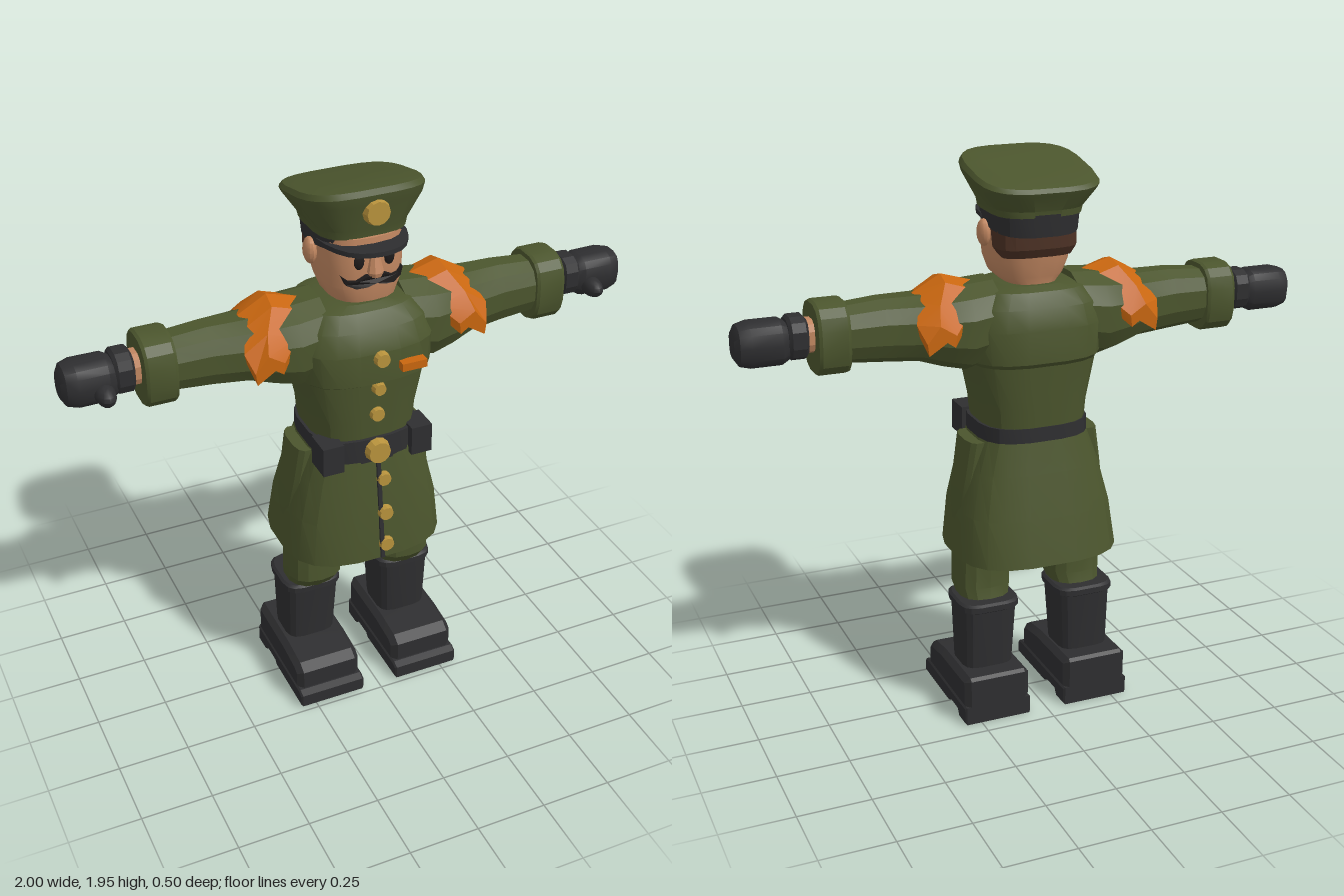
import * as THREE from 'three';
import { toCreasedNormals } from 'three/addons/utils/BufferGeometryUtils.js';

const mat = (name, color, extra = {}) => {
  const m = new THREE.MeshStandardMaterial({ color, ...extra });
  m.name = name;
  return m;
};

// Stacks superellipse rings; each section is [y, rx, rz, cx, cz, tilt]
function loft(sections, { n = 16, p = 2.8, bottom = true, top = true } = {}) {
  const pos = [], idx = [];
  const soft = (v) => Math.sign(v) * Math.abs(v) ** (2 / p);
  for (const [y, rx, rz, cx = 0, cz = 0, tilt = 0] of sections) {
    for (let i = 0; i < n; i++) {
      const a = ((i + 0.5) / n) * Math.PI * 2;
      const z = cz + rz * soft(Math.sin(a));
      pos.push(cx + rx * soft(Math.cos(a)), y + tilt * z, z);
    }
  }
  for (let j = 0; j < sections.length - 1; j++) {
    for (let i = 0; i < n; i++) {
      const a = j * n + i, b = j * n + ((i + 1) % n);
      idx.push(a, a + n, b + n, a, b + n, b);
    }
  }
  const last = (sections.length - 1) * n;
  for (let i = 1; i < n - 1; i++) {
    if (bottom) idx.push(0, i, i + 1);
    if (top) idx.push(last, last + i + 1, last + i);
  }
  const g = new THREE.BufferGeometry();
  g.setAttribute('position', new THREE.Float32BufferAttribute(pos, 3));
  g.setIndex(idx);
  return g;
}

// A loft that runs outwards along +x at height y
const loftX = (sections, y, z = 0, opts) => loft(sections, opts).rotateZ(-Math.PI / 2).translate(0, y, z);

// Side profile of [z, y] points, extruded across x
function extrudeX(points, width, cx, bevel) {
  const shape = new THREE.Shape(points.map(([z, y]) => new THREE.Vector2(z, y)));
  return new THREE.ExtrudeGeometry(shape, {
    depth: width - 2 * bevel, bevelEnabled: true, bevelSize: bevel, bevelOffset: -bevel, bevelThickness: bevel, bevelSegments: 1,
  }).rotateY(-Math.PI / 2).translate(cx + width / 2 - bevel, 0, 0);
}

// Moves every vertex by a rule
function bend(g, rule) {
  const p = g.attributes.position, v = new THREE.Vector3();
  for (let i = 0; i < p.count; i++) {
    rule(v.fromBufferAttribute(p, i));
    p.setXYZ(i, v.x, v.y, v.z);
  }
  return g;
}

// Mirrored copy across x, with the corner order kept outward
function mirror(source) {
  const g = source.index ? source.toNonIndexed() : source.clone();
  const a = g.attributes.position.array;
  for (let t = 0; t < a.length; t += 9) {
    for (let k = 0; k < 3; k++) [a[t + 3 + k], a[t + 6 + k]] = [a[t + 6 + k], a[t + 3 + k]];
    for (let k = 0; k < 9; k += 3) a[t + k] *= -1;
  }
  return g;
}

const disc = (r, depth, x, y, z) =>
  new THREE.CylinderGeometry(r * 0.85, r, depth, 12).rotateX(Math.PI / 2).translate(x, y, z);
const box = (w, h, d, x, y, z) => new THREE.BoxGeometry(w, h, d).translate(x, y, z);
const ball = (rx, ry, rz, x, y, z) => new THREE.SphereGeometry(1, 12, 8).scale(rx, ry, rz).translate(x, y, z);

export function createModel() {
  const root = new THREE.Group();
  root.name = 'officer';
  const green = mat('uniform green', 0x4b552d);
  const black = mat('black leather', 0x2e2e30);
  const lining = mat('coat lining', 0x333334, { side: THREE.DoubleSide });
  const orange = mat('orange trim', 0xc8660f);
  const gold = mat('brass', 0xb8923c);
  const skin = mat('skin', 0xc08660);
  const brown = mat('brown hair', 0x4c3124);
  const dark = mat('dark features', 0x1e1b1b);

  const add = (name, g, m, crease = 0.4) => {
    const mesh = new THREE.Mesh(toCreasedNormals(g, crease), m);
    mesh.name = name;
    root.add(mesh);
  };
  const pair = (name, g, m, crease) => {
    add(name + 'Left', g, m, crease);
    add(name + 'Right', mirror(g), m, crease);
  };

  // Coat
  add('jacket', loft([
    [1.0, 0.18, 0.17, 0, 0.005], [1.12, 0.19, 0.178, 0, 0.005], [1.275, 0.222, 0.19, 0, 0.005], [1.29, 0.235, 0.208, 0, 0.01],
    [1.4, 0.245, 0.207, 0, 0.01], [1.47, 0.225, 0.185, 0, 0.005], [1.52, 0.185, 0.15], [1.535, 0.12, 0.12],
  ], { n: 20, p: 3 }), green);
  const skirt = [
    [0.59, 0.29, 0.247, 0, -0.012], [0.75, 0.272, 0.225, 0, -0.003], [0.9, 0.235, 0.198, 0, 0.004], [1.01, 0.195, 0.18, 0, 0.008],
  ];
  add('coatSkirt', loft(skirt, { n: 20, p: 3, bottom: false }), green);
  add('coatLining', loft(skirt.map(([y, rx, rz, cx, cz], i) => [y, rx - (i ? 0.01 : 0), rz - (i ? 0.01 : 0), cx, cz]),
    { n: 20, p: 3, bottom: false, top: false }), lining);
  pair('sidePocket', loft([
    [0.71, 0.015, 0.03, 0.26], [0.77, 0.025, 0.065, 0.247], [0.88, 0.035, 0.08, 0.222], [1.0, 0.04, 0.085, 0.2],
  ], { n: 12 }), green);
  add('coatOpening', new THREE.BoxGeometry(0.014, 0.38, 0.009).rotateX(-0.12).translate(0.003, 0.785, 0.219), black);

  // Belt, pouches, buckle and buttons
  add('belt', loft([[0.97, 0.197, 0.183, 0, 0.01], [1.06, 0.195, 0.181, 0, 0.01]], { n: 20, p: 3 }), black);
  pair('beltPouch', box(0.075, 0.105, 0.1, 0.162, 1.017, 0.152), black);
  add('buckle', disc(0.046, 0.03, 0, 1.015, 0.203), gold);
  [[0, 1.38, 0.225, 0.028], [0, 1.26, 0.204, 0.024], [0, 1.155, 0.19, 0.027],
    [0.02, 0.9, 0.205, 0.027], [0.02, 0.77, 0.223, 0.029], [0.02, 0.645, 0.232, 0.029],
  ].forEach(([x, y, z, r], i) => add('button' + (i + 1), disc(r, 0.025, x, y, z), gold));
  add('chestRibbon', box(0.088, 0.028, 0.035, 0.108, 1.343, 0.228), orange);

  // Arms, cuffs, wrists and gloves
  pair('sleeve', loftX([
    [0.14, 0.14, 0.15, 0, 0], [0.24, 0.148, 0.158, 0.015], [0.32, 0.132, 0.14, 0.012], [0.4, 0.113, 0.115, 0.005],
    [0.52, 0.108, 0.098], [0.66, 0.096, 0.09],
  ], 1.415, 0, { n: 12, p: 2.3 }), green);
  pair('cuff', loftX([[0.64, 0.118, 0.1], [0.65, 0.122, 0.105], [0.735, 0.122, 0.105], [0.745, 0.116, 0.1]], 1.41, 0, { n: 16 }), green);
  pair('wrist', loftX([[0.72, 0.056, 0.052], [0.79, 0.056, 0.052]], 1.42, 0, { n: 12 }), skin);
  pair('gloveCuff', loftX([[0.765, 0.06, 0.055], [0.775, 0.072, 0.068], [0.82, 0.072, 0.068], [0.83, 0.062, 0.06]], 1.42, 0, { n: 12 }), black);
  pair('glove', loftX([
    [0.82, 0.058, 0.055], [0.85, 0.075, 0.07], [0.95, 0.075, 0.072], [0.985, 0.066, 0.06], [1.0, 0.042, 0.038],
  ], 1.41, 0.003, { n: 14 }), black, 0.6);
  pair('thumb', ball(0.034, 0.034, 0.06, 0.872, 1.385, 0.072), black, 0.6);

  // Shoulder boards: a peaked strip lofted front to back over the shoulder
  const stations = [[-0.165, 0.31, 0.41, 1.435], [-0.12, 0.25, 0.43, 1.49], [-0.06, 0.2, 0.4, 1.55], [0, 0.185, 0.405, 1.567],
    [0.06, 0.2, 0.4, 1.55], [0.12, 0.25, 0.43, 1.49], [0.165, 0.31, 0.41, 1.435]];
  const ring = [[0, -0.035], [0.55, 0], [1, -0.055], [0.95, -0.095], [0.55, -0.04], [0.05, -0.075]];
  const board = loft(stations.map(([z]) => [z, 1, 1]), { n: ring.length });
  const bp = board.attributes.position;
  stations.forEach(([z, x0, x1, y], j) => ring.forEach(([u, v], i) =>
    bp.setXYZ(j * ring.length + i, x0 + u * (x1 - x0), y + v + 0.01, z)));
  // the ring runs clockwise, so turn its faces outward
  const order = board.index.array;
  for (let t = 0; t < order.length; t += 3) [order[t + 1], order[t + 2]] = [order[t + 2], order[t + 1]];
  board.index.array.reverse();
  for (let t = 0; t < order.length; t += 3) [order[t + 1], order[t + 2]] = [order[t + 2], order[t + 1]];
  const a = new THREE.Vector3().fromBufferAttribute(bp, 3 * 6 + 1), probe = board.clone();
  probe.computeVertexNormals();
  if (a.y > 0 && probe.attributes.normal.getY(3 * 6 + 1) < 0) {
    for (let t = 0; t < order.length; t += 3) [order[t + 1], order[t + 2]] = [order[t + 2], order[t + 1]];
  }
  pair('shoulderBoard', board, orange, 0.2);

  // Head
  add('head', loft([
    [1.5, 0.09, 0.09, 0, -0.01], [1.535, 0.088, 0.105], [1.56, 0.115, 0.132, 0, 0.02], [1.61, 0.134, 0.143, 0, 0.018],
    [1.7, 0.139, 0.15, 0, 0.01], [1.78, 0.137, 0.148, 0, 0.005],
  ], { n: 18, p: 2.7 }), skin, 0.5);
  add('hair', loft([[1.63, 0.122, 0.055, 0, -0.075], [1.66, 0.14, 0.08, 0, -0.068], [1.76, 0.143, 0.095, 0, -0.056]], { p: 3 }), brown);
  pair('ear', ball(0.022, 0.046, 0.034, 0.152, 1.7, 0), skin, 0.6);
  pair('eye', ball(0.018, 0.028, 0.008, 0.052, 1.708, 0.157), dark, 1);
  pair('eyebrow', box(0.05, 0.012, 0.012, 0.055, 1.746, 0.154), dark);
  add('nose', loft([[1.655, 0.022, 0.02, 0, 0.167], [1.67, 0.027, 0.024, 0, 0.167], [1.735, 0.013, 0.012, 0, 0.158]], { n: 8, p: 2 }), skin);
  const half = [[0, 1.657], [0.03, 1.661], [0.06, 1.645], [0.085, 1.643], [0.105, 1.658], [0.095, 1.632], [0.065, 1.619], [0.03, 1.624], [0, 1.634]];
  const curl = [...half, ...half.slice(1, -1).reverse().map(([x, y]) => [-x, y])];
  add('moustache', bend(new THREE.ExtrudeGeometry(new THREE.Shape(curl.map(([x, y]) => new THREE.Vector2(x, y))),
    { depth: 0.035, bevelEnabled: false }), (v) => { v.z += 0.145 - v.x * v.x * 3; }), dark);

  // Cap
  add('capBand', loft([[1.725, 0.146, 0.152, 0, -0.02, 0.12], [1.79, 0.152, 0.16, 0, -0.02, 0.05]], { n: 20, p: 3 }), black);
  add('capCrown', loft([
    [1.775, 0.153, 0.16, 0, -0.018, 0.03], [1.8, 0.158, 0.163, 0, -0.018, 0.05], [1.875, 0.203, 0.194, 0, -0.018, 0.15],
    [1.898, 0.21, 0.2, 0, -0.018, 0.2], [1.914, 0.2, 0.19, 0, -0.018, 0.22], [1.921, 0.15, 0.14, 0, -0.018, 0.22],
  ], { n: 24, p: 3.4 }), green);
  const peak = new THREE.Shape();
  peak.moveTo(-0.147, 0.04);
  peak.bezierCurveTo(-0.14, 0.293, 0.14, 0.293, 0.147, 0.04);
  add('capVisor', bend(new THREE.ExtrudeGeometry(peak, { depth: 0.016, bevelEnabled: false, curveSegments: 12 }).rotateX(Math.PI / 2),
    (v) => { v.y += 1.787 - v.x * v.x * 1.4 - Math.max(0, v.z - 0.12) * 0.2; }), black);
  add('capBadge', disc(0.046, 0.025, 0, 1.875, 0.178), gold);

  // Trousers and boots
  pair('trouserLeg', loft([
    [0.4, 0.085, 0.085, 0.175, -0.015], [0.46, 0.1, 0.1, 0.172, 0.015], [0.6, 0.098, 0.103, 0.17, 0.012], [0.92, 0.09, 0.1, 0.1, 0],
  ], { n: 14, p: 2.5 }), green);
  pair('bootShaft', loft([
    [0.13, 0.09, 0.085, 0.185, -0.032], [0.39, 0.1, 0.103, 0.18, -0.03], [0.395, 0.109, 0.11, 0.18, -0.03],
    [0.415, 0.109, 0.11, 0.18, -0.03], [0.422, 0.1, 0.1, 0.18, -0.03],
  ], { n: 16, p: 4 }), black);
  pair('bootFoot', extrudeX([
    [-0.19, 0.05], [0.205, 0.05], [0.205, 0.135], [0.17, 0.158], [0.06, 0.172], [-0.18, 0.176], [-0.19, 0.165],
  ], 0.24, 0.187, 0.02), black);
  pair('bootSole', extrudeX([
    [-0.19, 0], [-0.12, 0], [-0.105, 0.022], [-0.025, 0.022], [-0.01, 0.008], [0.235, 0.008], [0.235, 0.055], [0.21, 0.066], [-0.19, 0.066],
  ], 0.246, 0.187, 0.006), black);

  return root;
}
